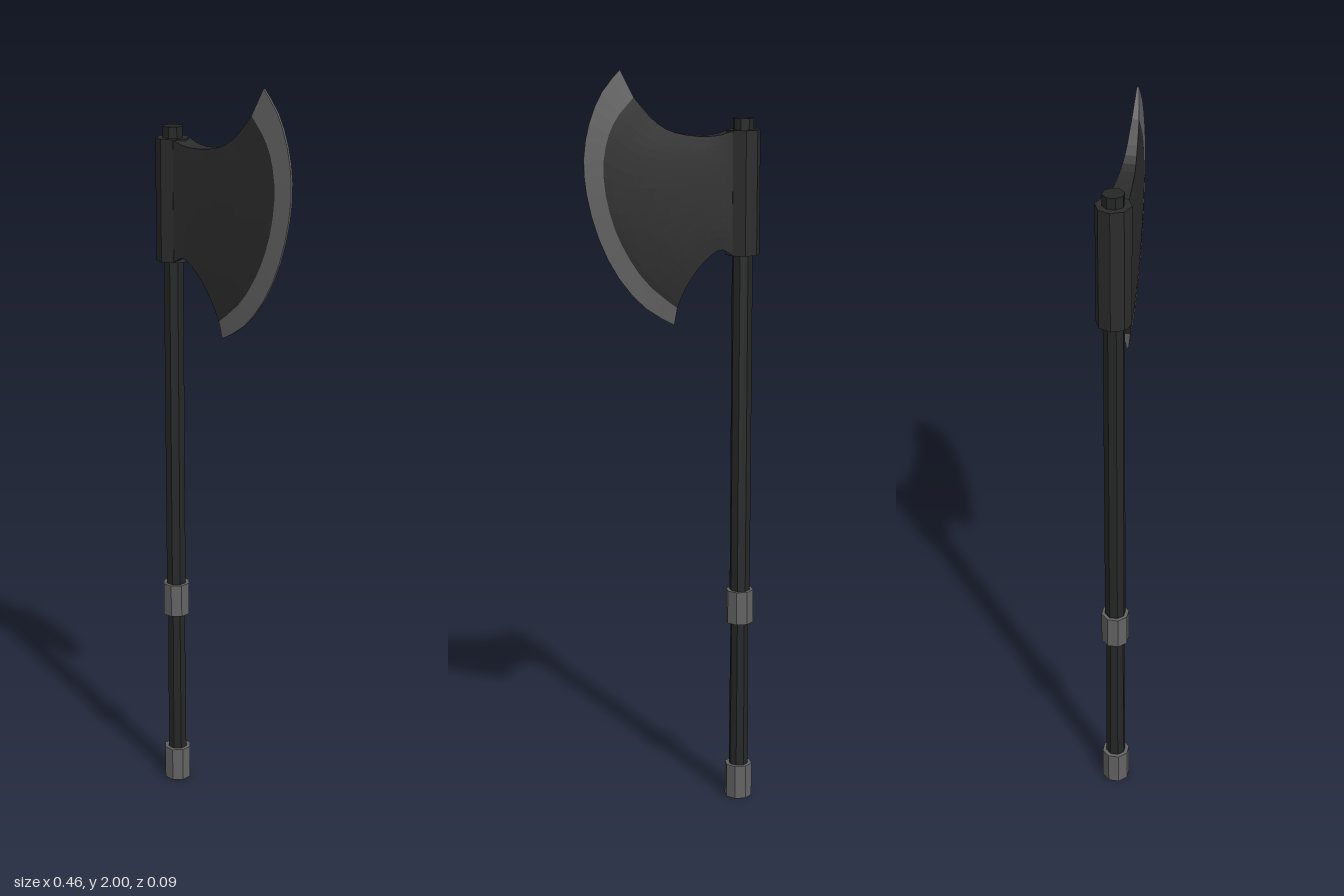
import * as THREE from 'three';

const mat = (name, color) => {
  const m = new THREE.MeshStandardMaterial({ color });
  m.name = name;
  m.flatShading = true;
  return m;
};
const curve = (pts) => new THREE.SplineCurve(pts.map(([x, y]) => new THREE.Vector2(x, y)));
const lerp = THREE.MathUtils.lerp;

// Closed two-sided plate from a grid: at(u, v) gives [x, y, half thickness]
function plate(at, nu, nv) {
  const pos = [];
  const point = (i, j, s) => {
    const [x, y, z] = at(i / nu, j / nv);
    return [x, y, z * s];
  };
  const quad = (a, b, c, d) => pos.push(...a, ...b, ...c, ...a, ...c, ...d);
  for (let i = 0; i < nu; i++) {
    for (let j = 0; j < nv; j++) {
      for (const s of [1, -1]) {
        const q = [point(i, j, s), point(i + 1, j, s), point(i + 1, j + 1, s), point(i, j + 1, s)];
        quad(...(s > 0 ? q : q.reverse()));
      }
    }
    // lower and upper rims
    quad(point(i, 0, 1), point(i, 0, -1), point(i + 1, 0, -1), point(i + 1, 0, 1));
    quad(point(i, nv, 1), point(i + 1, nv, 1), point(i + 1, nv, -1), point(i, nv, -1));
  }
  // outer end
  for (let j = 0; j < nv; j++) {
    quad(point(nu, j, 1), point(nu, j, -1), point(nu, j + 1, -1), point(nu, j + 1, 1));
  }
  const g = new THREE.BufferGeometry();
  g.setAttribute('position', new THREE.Float32BufferAttribute(pos, 3));
  g.computeVertexNormals();
  return g;
}

export function createModel() {
  const group = new THREE.Group();
  const dark = mat('darkIron', 0x2c2c2c);
  const wood = mat('blackShaft', 0x252827);
  const steel = mat('steel', 0x646464);

  const add = (name, geometry, material) => {
    const mesh = new THREE.Mesh(geometry, material);
    mesh.name = name;
    group.add(mesh);
  };
  // Eight-sided post on the shaft axis
  const post = (name, y0, y1, rBottom, rTop, material, turn = Math.PI / 8) => {
    const g = new THREE.CylinderGeometry(rTop, rBottom, y1 - y0, 8);
    g.rotateY(turn).translate(-0.187, (y0 + y1) / 2, 0);
    add(name, g, material);
  };

  // Handle, from the pommel up
  post('pommel', 0, 0.095, 0.038, 0.038, steel);
  post('grip', 0.09, 0.52, 0.027, 0.025, wood);
  post('collar', 0.508, 0.6, 0.038, 0.038, steel);
  post('shaft', 0.59, 1.875, 0.028, 0.028, wood);
  post('socket', 1.52, 1.845, 0.0455, 0.0455, dark, 0);

  // Blade outline curves
  const upper = curve([[-0.157, 1.845], [-0.12, 1.833], [-0.07, 1.83], [0, 1.842], [0.05, 1.872], [0.1, 1.93]]);
  const lower = curve([[-0.157, 1.52], [-0.125, 1.537], [-0.085, 1.508], [-0.05, 1.463], [-0.027, 1.42], [-0.013, 1.382]]);
  const inner = curve([[-0.013, 1.382], [0.065, 1.447], [0.125, 1.535], [0.163, 1.63], [0.18, 1.735], [0.17, 1.82], [0.143, 1.88], [0.1, 1.93]]);
  const outer = curve([[-0.006, 1.336], [0.07, 1.382], [0.14, 1.462], [0.192, 1.565], [0.223, 1.68], [0.23, 1.775], [0.215, 1.865], [0.182, 1.943], [0.135, 2]]);

  // Blade body: a patch blended between its four border curves
  const body = (u, v) => {
    const t = upper.getPoint(u), b = lower.getPoint(u), e = inner.getPoint(v);
    const t1 = inner.getPoint(1), b1 = inner.getPoint(0);
    const t0 = upper.getPoint(0), b0 = lower.getPoint(0);
    const blend = (k) => lerp(b[k], t[k], v) + lerp(lerp(b0[k], t0[k], v), e[k], u)
      - lerp(lerp(b0[k], t0[k], v), lerp(b1[k], t1[k], v), u);
    return [blend('x'), blend('y'), lerp(0.032, 0.009, u)];
  };
  add('bladeBody', plate(body, 12, 16), dark);

  // Sharpened edge, tapering outward
  const edge = (u, v) => {
    const p = inner.getPoint(v).lerp(outer.getPoint(v), u);
    return [p.x, p.y, lerp(0.009, 0.003, u)];
  };
  add('bladeEdge', plate(edge, 1, 16), steel);

  return group;
}
